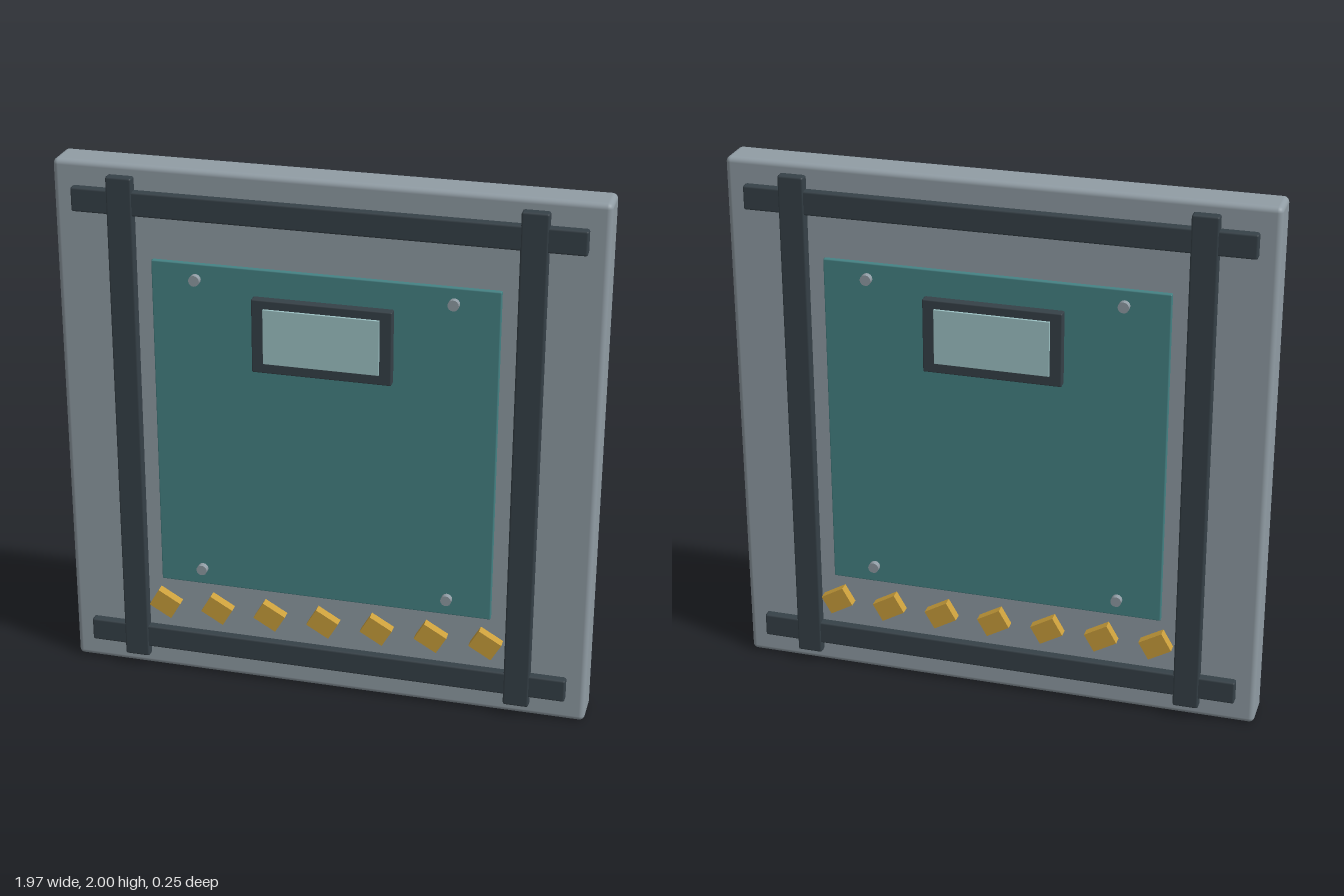
import * as THREE from 'three';
import { RoundedBoxGeometry } from 'three/addons/geometries/RoundedBoxGeometry.js';

const mat = (name, color) => {
  const m = new THREE.MeshStandardMaterial({ color });
  m.name = name;
  return m;
};

export function createModel() {
  const model = new THREE.Group();
  model.name = 'door';
  const steel = mat('grey steel', 0x919da5);
  const dark = mat('dark iron', 0x364148);
  const teal = mat('teal paint', 0x458385);
  const glass = mat('pale glass', 0x9fc5c7);
  const yellow = mat('hazard yellow', 0xcca03c);

  const add = (parent, name, geometry, material, x, y, z) => {
    const mesh = new THREE.Mesh(geometry, material);
    mesh.name = name;
    mesh.position.set(x, y, z);
    parent.add(mesh);
    return mesh;
  };

  // Main slab with softened edges
  add(model, 'slab', new RoundedBoxGeometry(1.97, 2, 0.14, 3, 0.02), steel, 0, 1, 0);

  // The same fittings on both faces
  for (const s of [1, -1]) {
    const face = new THREE.Group();
    face.name = s > 0 ? 'frontFittings' : 'backFittings';
    model.add(face);

    // Plate standing on the slab, its outer surface at the given depth
    const plate = (name, w, h, x, y, outer, material, inner = 0.06, r = 0.005) =>
      add(face, name, new RoundedBoxGeometry(w, h, outer - inner, 1, r), material,
        x, y, s * (outer + inner) / 2);

    // Crossing frame bars
    for (const y of [0.135, 1.865]) plate('rail', 1.826, 0.09, 0, y, 0.099, dark, 0.06, 0.008);
    for (const x of [-0.733, 0.733]) plate('post', 0.096, 1.912, x, 1.004, 0.102, dark, 0.06, 0.008);

    // Painted panel with corner bolts
    plate('panel', 1.254, 1.274, 0, 1.025, 0.086, teal);
    for (const x of [-0.464, 0.464]) {
      for (const y of [0.455, 1.605]) {
        const bolt = add(face, 'bolt', new THREE.CylinderGeometry(0.02, 0.02, 0.03, 16),
          steel, x, y, s * 0.093);
        bolt.rotation.x = Math.PI / 2;
      }
    }

    // Window
    plate('windowFrame', 0.506, 0.276, 0, 1.424, 0.118, dark, 0.08);
    plate('windowGlass', 0.42, 0.206, 0, 1.427, 0.125, glass, 0.11, 0.002);

    // Row of tilted warning marks
    for (let i = -3; i <= 3; i++) {
      const mark = add(face, 'warningMark', new THREE.BoxGeometry(0.097, 0.076, 0.045),
        yellow, i * 0.2045, 0.29, s * 0.085);
      mark.rotation.z = -Math.PI / 6;
    }
  }
  return model;
}
